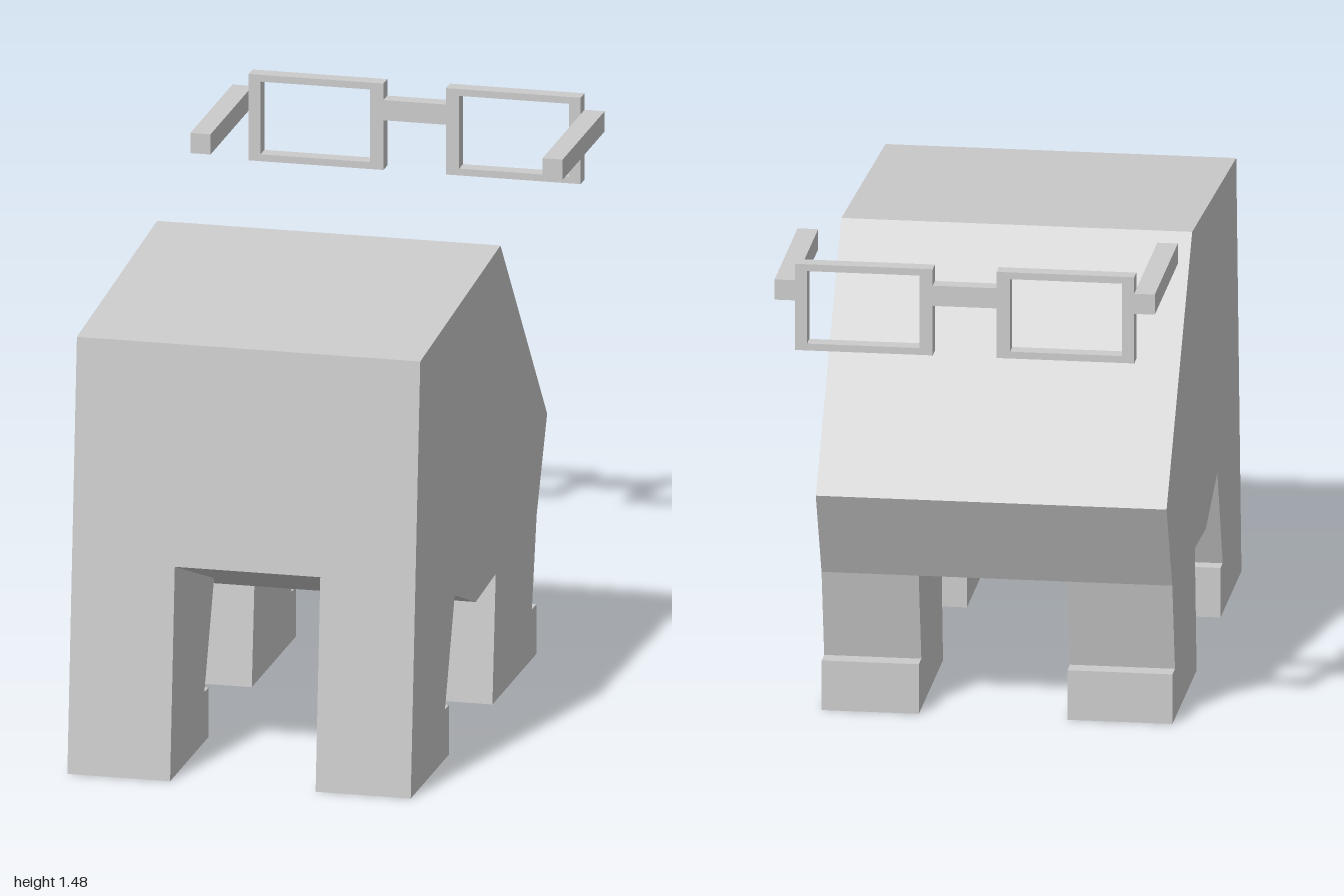
import * as THREE from 'three';

const material = new THREE.MeshStandardMaterial({ color: 0xcccccc, flatShading: true });

function addMesh(parent, name, geometry) {
  const mesh = new THREE.Mesh(geometry, material);
  mesh.name = name;
  parent.add(mesh);
  return mesh;
}

// Side profile of [z, y] points, extruded across x from x0 to x1
function addSlab(parent, name, profile, x0, x1) {
  const shape = new THREE.Shape(profile.map(([z, y]) => new THREE.Vector2(z, y)));
  const geometry = new THREE.ExtrudeGeometry(shape, { depth: x1 - x0, bevelEnabled: false });
  geometry.rotateY(-Math.PI / 2).translate(x1, 0, 0);
  return addMesh(parent, name, geometry);
}

function addBox(parent, name, [x0, x1], [y0, y1], [z0, z1]) {
  const geometry = new THREE.BoxGeometry(x1 - x0, y1 - y0, z1 - z0);
  geometry.translate((x0 + x1) / 2, (y0 + y1) / 2, (z0 + z1) / 2);
  return addMesh(parent, name, geometry);
}

function rectangle(target, x0, x1, y0, y1) {
  target.moveTo(x0, y0);
  target.lineTo(x1, y0);
  target.lineTo(x1, y1);
  target.lineTo(x0, y1);
  target.closePath();
  return target;
}

export function createModel() {
  const model = new THREE.Group();
  model.name = 'blockyAnimalWithGlasses';

  // Torso with a sloped rump and a bent belly
  const torso = [
    [0.946, 0.61], [0.89, 1.243], [-0.035, 1.312], [-0.573, 0.665],
    [-0.452, 0.405], [0.02, 0.37], [0.25, 0.355], [0.493, 0.445],
  ];
  addSlab(model, 'torso', torso, -0.512, 0.477);

  // Legs, each with a small heel block at the back
  const frontLeg = [
    [1, 0], [0.946, 0.61], [0.493, 0.445], [0.605, 0.145], [0.56, 0.145], [0.56, 0],
  ];
  const hindLeg = [
    [0.058, 0], [0.02, 0.37], [-0.452, 0.405], [-0.397, 0.145], [-0.45, 0.145], [-0.45, 0],
  ];
  for (const [side, x0, x1] of [['Right', -0.512, -0.216], ['Left', 0.203, 0.477]]) {
    addSlab(model, `front${side}Leg`, frontLeg, x0, x1);
    addSlab(model, `hind${side}Leg`, hindLeg, x0, x1);
  }

  // Glasses floating behind the body
  const glasses = new THREE.Group();
  glasses.name = 'glasses';
  model.add(glasses);
  for (const [side, s] of [['right', -1], ['left', 1]]) {
    const span = (a, b) => (s > 0 ? [a, b] : [-b, -a]);
    const rim = rectangle(new THREE.Shape(), ...span(0.09, 0.478), 1.223, 1.475);
    rim.holes.push(rectangle(new THREE.Path(), ...span(0.128, 0.444), 1.243, 1.455));
    const rimGeometry = new THREE.ExtrudeGeometry(rim, { depth: 0.045, bevelEnabled: false });
    addMesh(glasses, `${side}Rim`, rimGeometry.translate(0, 0, -1));
    addBox(glasses, `${side}Temple`, span(0.478, 0.536), [1.368, 1.427], [-1, -0.515]);
  }
  addBox(glasses, 'bridge', [-0.09, 0.09], [1.368, 1.427], [-1, -0.955]);

  return model;
}
